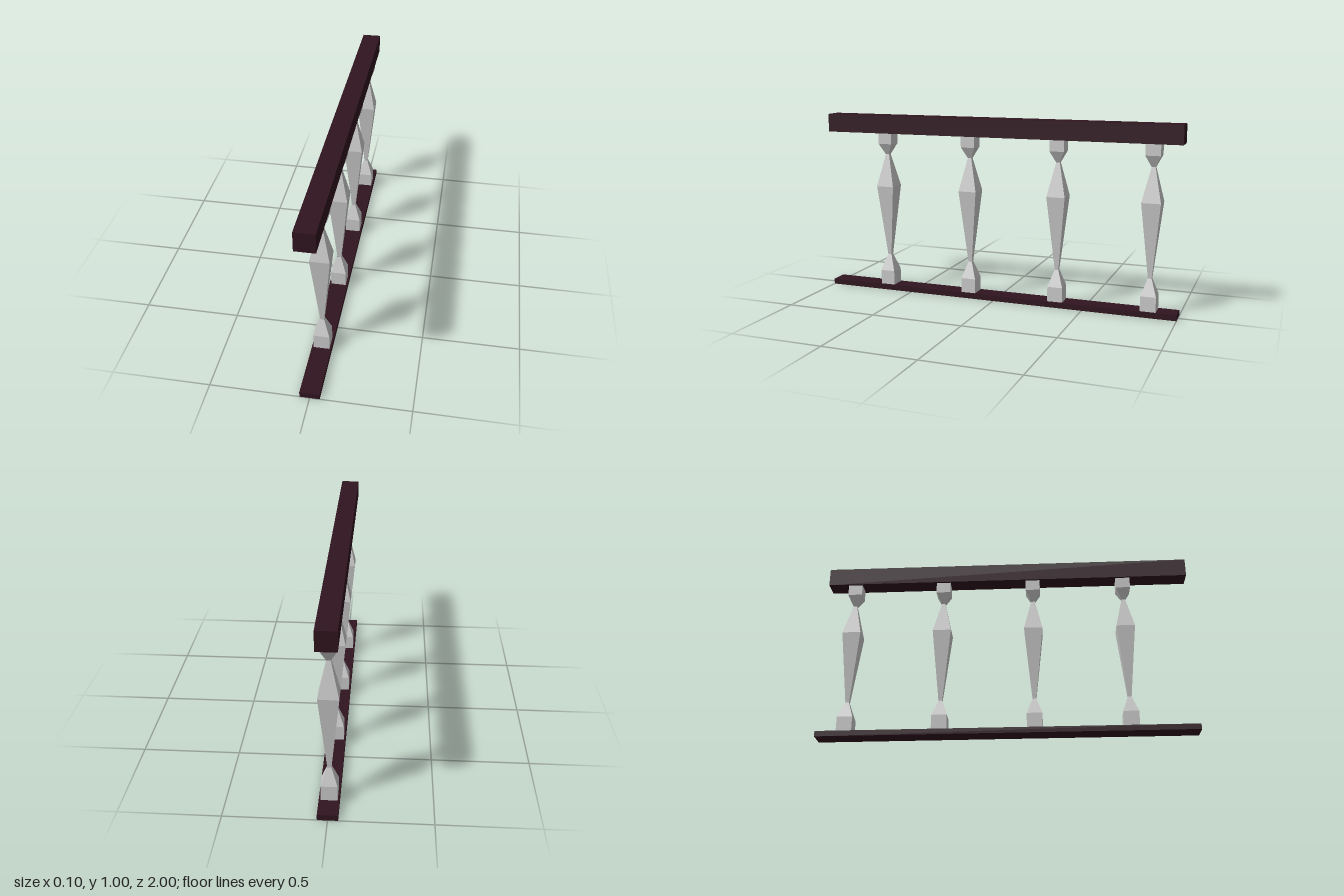
import * as THREE from 'three';

export function createModel() {
  const model = new THREE.Group();
  model.name = 'balustrade';
  const wood = new THREE.MeshStandardMaterial({ color: 0x30141f });
  const stone = new THREE.MeshStandardMaterial({ color: 0xcccccc, flatShading: true });

  // Full-length rails
  const addRail = (name, bottom, top) => {
    const rail = new THREE.Mesh(new THREE.BoxGeometry(0.1, top - bottom, 2), wood);
    rail.position.y = (bottom + top) / 2;
    rail.name = name;
    model.add(rail);
  };
  addRail('bottomRail', 0, 0.03);
  addRail('handrail', 0.9, 1);

  // Square baluster: [half width, height] turned in four sides
  const profile = [
    [0.041, 0.03], [0.041, 0.11], [0.01, 0.2], [0.05, 0.6],
    [0.01, 0.78], [0.039, 0.84], [0.039, 0.9],
  ].map(([half, y]) => new THREE.Vector2(half * Math.SQRT2, y));
  const balusterGeometry = new THREE.LatheGeometry(profile, 4, Math.PI / 4);

  // Evenly spaced balusters
  for (let i = 0; i < 4; i++) {
    const baluster = new THREE.Mesh(balusterGeometry, stone);
    baluster.position.z = 0.65 - i * 0.5;
    baluster.name = `baluster${i + 1}`;
    model.add(baluster);
  }
  return model;
}
